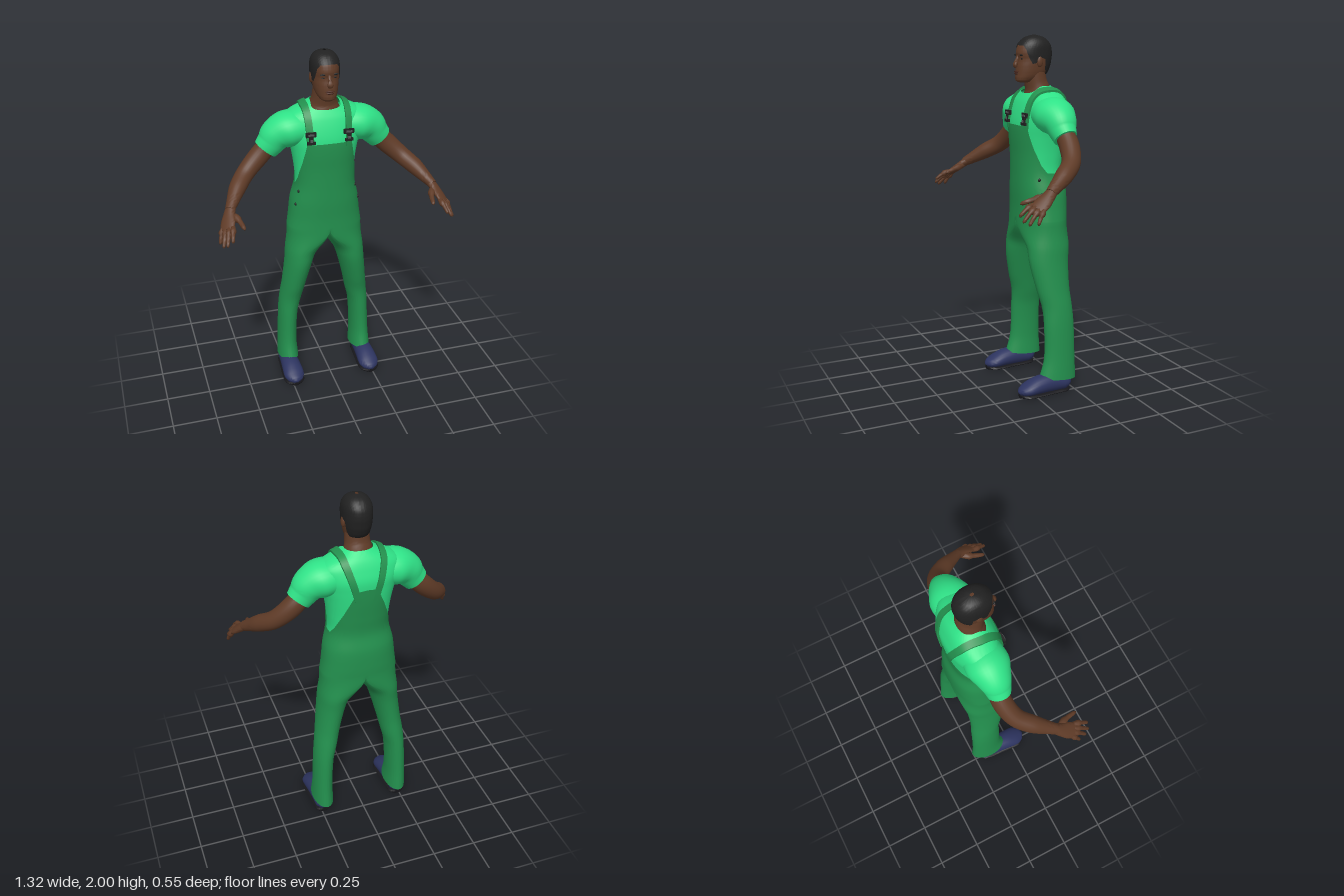
import * as THREE from 'three';
import { mergeGeometries, toCreasedNormals } from 'three/addons/utils/BufferGeometryUtils.js';

const V = (x, y, z) => new THREE.Vector3(x, y, z);
const mat = (name, color) => Object.assign(new THREE.MeshStandardMaterial({ color }), { name });
const lerp = THREE.MathUtils.lerp, TAU = Math.PI * 2, SEG = 96;

// Piecewise linear lookup in [[key, value], ...]
function lookup(table, k) {
  let i = 1;
  while (i < table.length - 1 && k > table[i][0]) i++;
  const [a, b] = [table[i - 1], table[i]];
  return lerp(a[1], b[1], THREE.MathUtils.clamp((k - a[0]) / (b[0] - a[0]), 0, 1));
}

// Smooth (Hermite) interpolation of table rows [key, ...values]
function smooth(table, k) {
  let i = 0;
  while (i < table.length - 2 && k > table[i + 1][0]) i++;
  const a = table[i], b = table[i + 1], h = b[0] - a[0];
  const t = THREE.MathUtils.clamp((k - a[0]) / h, 0, 1), p = table[i - 1] ?? a, n = table[i + 2] ?? b;
  return a.slice(1).map((v, c) => {
    const w = b[c + 1], m0 = (w - p[c + 1]) / (b[0] - p[0]), m1 = (n[c + 1] - v) / (n[0] - a[0]);
    return v + t * t * (3 - 2 * t) * (w - v) + h * (t * (1 - t) * (1 - t) * m0 - t * t * (1 - t) * m1);
  });
}

// Skin of closed rings, optionally capped at both ends
function skinRings(rows, caps = true) {
  const n = rows[0].length, pos = rows.flat(), idx = [];
  for (let i = 0; i < rows.length - 1; i++) for (let j = 0; j < n; j++) {
    const a = i * n + j, b = i * n + (j + 1) % n;
    idx.push(a, b, b + n, a, b + n, a + n);
  }
  if (caps) [0, rows.length - 1].forEach((r, end) => {
    const c = pos.length;
    pos.push(rows[r].reduce((s, p) => s.add(p), V(0, 0, 0)).divideScalar(n));
    for (let j = 0; j < n; j++) {
      const a = r * n + j, b = r * n + (j + 1) % n;
      end ? idx.push(a, b, c) : idx.push(b, a, c);
    }
  });
  const g = new THREE.BufferGeometry().setFromPoints(pos);
  g.setIndex(idx);
  return g;
}
const mirrorRows = rows => rows.map(r => r.map(p => V(-p.x, p.y, p.z)).reverse());

// Rings along a smooth path; points are [x, y, z, radius along ref, radius across]
function loft(points, ref, steps = 16, n = 20) {
  const path = new THREE.CatmullRomCurve3(points.map(p => V(p[0], p[1], p[2])));
  const size = new THREE.CatmullRomCurve3(points.map(p => V(p[3], p[4], p[3] * 0.1)));
  return Array.from({ length: steps + 1 }, (_, i) => {
    const c = path.getPoint(i / steps), s = size.getPoint(i / steps), T = path.getTangent(i / steps);
    const A = ref.clone().addScaledVector(T, -ref.dot(T)).normalize(), B = T.clone().cross(A);
    return Array.from({ length: n }, (_, j) => c.clone()
      .addScaledVector(A, s.x * Math.cos(j / n * TAU)).addScaledVector(B, s.y * Math.sin(j / n * TAU)));
  });
}

// Body of horizontal rounded sections [y, half width, front z, back z]
function body(table, n) {
  const pw = v => Math.sign(v) * Math.abs(v) ** (2 / n);
  return {
    at(th, y, off = 0) {
      const [w, f, b] = smooth(table, y);
      return V((w + off) * pw(Math.sin(th)), y, (f + b) / 2 + ((f - b) / 2 + off) * pw(Math.cos(th)));
    },
    inside(p) {
      const [w, f, b] = smooth(table, p.y);
      return p.y < table.at(-1)[0] && Math.abs(p.x / w) ** n + Math.abs((p.z - (f + b) / 2) / ((f - b) / 2)) ** n < 1;
    },
    // Rings between a lower and an upper edge, each a function of the angle in degrees from the front
    band(low, high, rows, off = 0) {
      return Array.from({ length: rows + 1 }, (_, i) => Array.from({ length: SEG }, (_, j) => {
        const d = Math.min(j, SEG - j) * 360 / SEG;
        return this.at(j / SEG * TAU, lerp(low(d), high(d), i / rows), off);
      }));
    },
  };
}

export function createModel() {
  const model = new THREE.Group();
  model.name = 'workman';
  const shirt = mat('shirt green', 0x2fe287), overall = mat('overall green', 0x23904e);
  const skin = mat('skin brown', 0x5f3b27), hair = mat('hair black', 0x212121), lip = mat('lip brown', 0x4c2a20);
  const shoe = mat('shoe blue', 0x2d3460), sole = mat('sole black', 0x17171b), metal = mat('buckle grey', 0x55585a);

  const add = (name, g, m, at) => {
    const mesh = new THREE.Mesh(g, m);
    mesh.name = name;
    if (at) mesh.position.copy(at);
    model.add(mesh);
    return mesh;
  };
  const addRows = (name, rows, m, caps = true) => add(name, toCreasedNormals(skinRings(rows, caps), 1), m);
  const addPair = (name, rows, m) => { addRows('left' + name, rows, m); addRows('right' + name, mirrorRows(rows), m); };
  const blob = (name, m, at, sx, sy, sz) => add(name, new THREE.SphereGeometry(1, 20, 14).scale(sx, sy, sz), m, at);

  // Shirt body
  const torso = body([[0.97, 0.212, 0, -0.262], [1.05, 0.2, 0, -0.266], [1.15, 0.188, 0.004, -0.264],
    [1.25, 0.166, 0.005, -0.246], [1.35, 0.17, 0.007, -0.256], [1.45, 0.185, 0.012, -0.268],
    [1.52, 0.203, 0.01, -0.273], [1.58, 0.22, -0.002, -0.273], [1.64, 0.222, -0.022, -0.255],
    [1.67, 0.188, -0.038, -0.242], [1.69, 0.145, -0.05, -0.23], [1.71, 0.1, -0.058, -0.212],
    [1.725, 0.077, -0.062, -0.197]], 2.3);
  addRows('shirtBody', torso.band(() => 1.2, d => 1.725 - 0.04 * Math.max(0, Math.cos(d * Math.PI / 180)) ** 2, 48), shirt, false)
    .material.side = THREE.DoubleSide;

  // Overalls: bib and seat, joined to two legs along a sagging crotch line
  const HIP = 0.985, OFF = 0.007;
  const edge = [[0, 1.515], [33.75, 1.512], [41.25, 1.46], [52.5, 1.39], [71.25, 1.3], [86.25, 1.255],
    [105, 1.25], [120, 1.295], [142.5, 1.39], [157.5, 1.47], [168.75, 1.535], [180, 1.54]];
  const bib = torso.band(() => HIP, d => lookup(edge, d), 44, OFF);
  const legTable = [[0.08, 0.23, -0.147, 0.061, 0.114], [0.2, 0.23, -0.16, 0.055, 0.094], [0.4, 0.22, -0.16, 0.057, 0.09],
    [0.5, 0.204, -0.155, 0.064, 0.09], [0.6, 0.186, -0.138, 0.068, 0.099], [0.75, 0.158, -0.125, 0.079, 0.116],
    [0.85, 0.137, -0.13, 0.092, 0.125], [0.99, 0.108, -0.131, 0.108, 0.135]];
  const legRows = [];
  for (let i = 0; i <= 40; i++) {
    const v = 1 - i / 40, w = THREE.MathUtils.smoothstep(v, 0, 0.18);
    legRows.push(Array.from({ length: SEG }, (_, j) => {
      const th = j / SEG * TAU, hip = torso.at(th, HIP, OFF);
      if (j > SEG / 2) { hip.x = 0; hip.y -= 0.035 * Math.abs(Math.sin(th)); }
      const y = lerp(hip.y, 0.085 + 0.012 * Math.cos(th), v), [cx, cz, rx, rz] = smooth(legTable, y);
      return V(lerp(hip.x, cx + rx * Math.sin(th), w), y, lerp(hip.z, cz + rz * Math.cos(th), w));
    }));
  }
  const trousers = mergeGeometries([skinRings(bib, false), skinRings(legRows, false), skinRings(mirrorRows(legRows), false)]);
  add('overalls', toCreasedNormals(trousers, 1), overall).material.side = THREE.DoubleSide;

  // Straps wrapped over the shoulders
  const strapX = [[-30, 0.106], [40, 0.112], [90, 0.118], [130, 0.105], [210, 0.045]];
  const onTorso = (x, deg, off) => {
    const a = deg * Math.PI / 180;
    const ray = r => V(x, 1.55 + r * Math.sin(a), -0.125 + r * Math.cos(a));
    let lo = 0, hi = 0.3;
    for (let k = 0; k < 24; k++) { const m = (lo + hi) / 2; torso.inside(ray(m)) ? lo = m : hi = m; }
    return ray(lo + off);
  };
  const strap = [];
  for (let d = -24; d <= 208; d += 4) {
    const x = lookup(strapX, d);
    strap.push([[-1, -0.004], [-1, 0.012], [0, 0.012], [1, 0.012], [1, -0.004]]
      .map(([s, o]) => onTorso(x + s * 0.018, d, o)).reverse());
  }
  addPair('Strap', strap, overall);

  // Buckles and side buttons
  for (const s of [-1, 1]) {
    const box = (name, m, w, h, y, dz) => {
      const p = onTorso(0.106, Math.atan2(y - 1.55, 0.135) * 180 / Math.PI, 0.014 + dz);
      add(name, new THREE.BoxGeometry(w, h, 0.012), m, V(s * p.x, y, p.z));
    };
    box('buckleTop', hair, 0.056, 0.026, 1.572, 0);
    box('buckleSlide', metal, 0.034, 0.01, 1.572, 0.004);
    box('buckleStem', hair, 0.022, 0.04, 1.548, 0);
    box('buckleBase', hair, 0.046, 0.016, 1.526, 0);
    box('buckleStud', metal, 0.014, 0.014, 1.54, 0.004);
    for (const y of [1.22, 1.14]) {
      const p = torso.at(s * 1.15, y, OFF);
      blob('sideButton', hair, p, 0.006, 0.009, 0.009);
    }
  }

  // Sleeves and arms
  const Z = V(0, 0, 1);
  addPair('Sleeve', loft([[0.08, 1.575, -0.13, 0.1, 0.085], [0.2, 1.572, -0.13, 0.116, 0.1], [0.265, 1.542, -0.13, 0.093, 0.092],
    [0.3, 1.5, -0.13, 0.074, 0.078], [0.328, 1.466, -0.132, 0.062, 0.07]], Z, 24, 32), shirt);
  addPair('Arm', loft([[0.28, 1.52, -0.13, 0.05, 0.052], [0.36, 1.435, -0.135, 0.054, 0.056], [0.45, 1.352, -0.1, 0.05, 0.05],
    [0.51, 1.302, -0.03, 0.048, 0.046], [0.55, 1.26, 0.035, 0.037, 0.034], [0.578, 1.23, 0.083, 0.029, 0.025]], Z, 28, 24), skin);

  // Hands
  const across = V(0.75, -0.3, -0.55).normalize();
  addPair('Palm', loft([[0.568, 1.24, 0.067, 0.028, 0.025], [0.587, 1.21, 0.105, 0.036, 0.021],
    [0.6, 1.185, 0.14, 0.044, 0.017], [0.612, 1.16, 0.177, 0.042, 0.012]], across), skin);
  const finger = (name, a, b, c, r, ref) => addPair(name, loft([[...a, r, r], [...b, r, r],
    [...c.map((v, i) => lerp(b[i], v, 0.85)), r * 0.75, r * 0.75], [...c, r * 0.2, r * 0.2]], ref, 12, 10), skin);
  [[0.6, 1.13, 0.267], [0.628, 1.105, 0.26], [0.645, 1.09, 0.235], [0.655, 1.09, 0.19]].forEach((tip, i) => {
    const root = V(0.606, 1.17, 0.165).addScaledVector(across, -0.033 + 0.022 * i).toArray();
    finger('Finger', root, root.map((v, k) => lerp(v, tip[k], 0.5) + (k === 1 ? 0.006 : 0)), tip, 0.0115, across);
  });
  finger('Thumb', [0.568, 1.212, 0.098], [0.542, 1.198, 0.16], [0.527, 1.178, 0.228], 0.014, V(0, 1, 0));

  // Shoes
  const shoeLine = [[-0.215, 0.02, 0.05], [-0.195, 0.044, 0.08], [-0.1, 0.052, 0.11], [-0.02, 0.058, 0.1],
    [0.04, 0.06, 0.074], [0.078, 0.042, 0.05], [0.093, 0.012, 0.03]];
  addPair('Shoe', loft(shoeLine.map(([z, w, t]) => [0.237, t / 2 + 0.008, z, w, t / 2]), V(1, 0, 0), 24, 24), shoe);
  addPair('Sole', loft(shoeLine.map(([z, w]) => [0.237, 0.012, z, w + 0.002, 0.012]), V(1, 0, 0), 24, 24), sole);

  // Neck and head
  addRows('neck', loft([[0, 1.65, -0.127, 0.1, 0.078], [0, 1.7, -0.127, 0.08, 0.07], [0, 1.745, -0.116, 0.067, 0.062],
    [0, 1.81, -0.105, 0.062, 0.062]], V(1, 0, 0), 16, 32), skin);
  const head = body([[1.745, 0.03, -0.012, -0.08], [1.755, 0.044, 0.002, -0.11], [1.785, 0.06, 0.002, -0.165],
    [1.83, 0.068, -0.001, -0.19], [1.87, 0.071, -0.008, -0.198], [1.9, 0.072, -0.002, -0.201], [1.94, 0.07, -0.012, -0.195],
    [1.965, 0.061, -0.03, -0.18], [1.985, 0.044, -0.054, -0.157], [1.996, 0.022, -0.083, -0.13], [2, 0.002, -0.1, -0.11]], 2.2);
  addRows('head', head.band(() => 1.745, () => 1.975, 30), skin);
  const hairline = [[0, 1.945], [33.75, 1.942], [48.75, 1.92], [60, 1.87], [71.25, 1.845], [82.5, 1.85],
    [93.75, 1.88], [108.75, 1.87], [116.25, 1.82], [131.25, 1.79], [180, 1.785]];
  addRows('hair', head.band(d => lookup(hairline, d), () => 2, 30, 0.006), hair, false).material.side = THREE.DoubleSide;

  // Face
  addRows('nose', loft([[0, 1.888, -0.008, 0.008, 0.006], [0, 1.862, 0.001, 0.01, 0.01], [0, 1.838, 0.008, 0.016, 0.013],
    [0, 1.826, 0.004, 0.012, 0.008]], V(1, 0, 0), 12, 14), skin);
  blob('upperLip', lip, V(0, 1.803, 0.003), 0.025, 0.005, 0.007);
  blob('lowerLip', lip, V(0, 1.793, 0.003), 0.022, 0.006, 0.007);
  for (const s of [-1, 1]) {
    blob('brow', hair, head.at(s * 0.44, 1.892), 0.019, 0.005, 0.006);
    blob('eye', hair, head.at(s * 0.42, 1.873), 0.011, 0.004, 0.003);
    blob('ear', skin, V(s * 0.073, 1.857, -0.106), 0.011, 0.03, 0.018);
  }
  return model;
}
